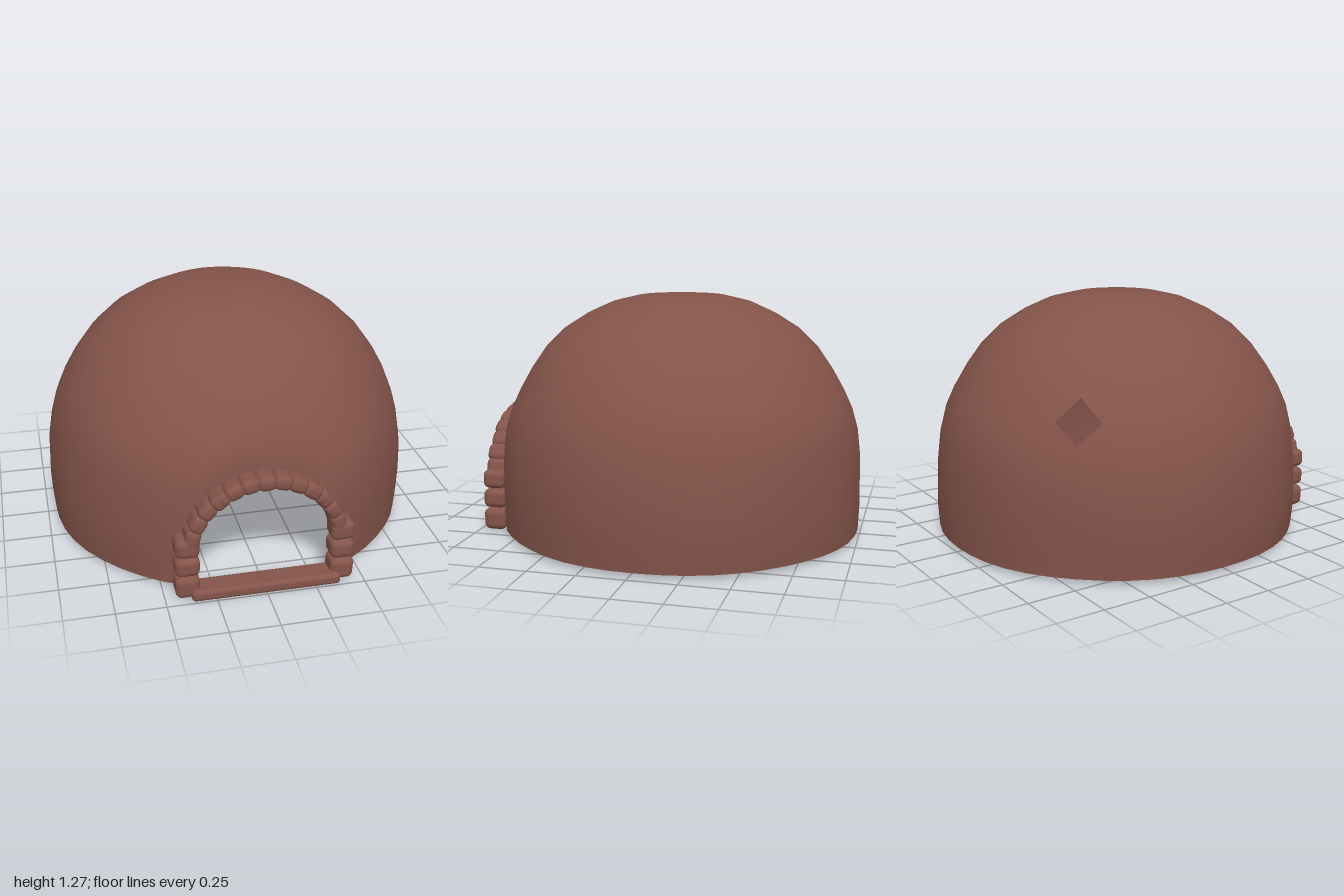
import * as THREE from 'three';
import { mergeVertices } from 'three/addons/utils/BufferGeometryUtils.js';
import { RoundedBoxGeometry } from 'three/addons/geometries/RoundedBoxGeometry.js';

const clay = new THREE.MeshStandardMaterial({ color: 0x84544a });
clay.name = 'reddish brown clay';

// Dome profile rows: height, radius
const ROWS = [
  [0.02, 0.96], [0.13, 0.967], [0.245, 0.968], [0.4, 0.963], [0.55, 0.942], [0.66, 0.912], [0.76, 0.868],
  [0.87, 0.806], [0.98, 0.728], [1.08, 0.625], [1.16, 0.5], [1.22, 0.37], [1.252, 0.24], [1.268, 0],
];
const DOOR = 22.5;                                  // half angle of the doorway, degrees
const ARCH = { a: 0.37, b: 0.345, y: 0.245 };       // half ellipse over the doorway
const HOLE = { angle: 225, row: 6 };                // chipped outer skin on the rear wall

function radiusAt(y) {
  let i = 1;
  while (i < ROWS.length - 1 && ROWS[i][0] < y) i++;
  const [y0, r0] = ROWS[i - 1], [y1, r1] = ROWS[i];
  return r0 + (r1 - r0) * (y - y0) / (y1 - y0);
}

// Point on the outer or inner wall: slightly uneven, flattened behind the door surround
function wallPoint(deg, y, inner) {
  const t = THREE.MathUtils.degToRad(deg);
  const bump = 1 + 0.006 * Math.sin(5 * t + 4 * y) * Math.sin(3 * t - 7 * y);
  const r = radiusAt(y) * bump * (inner ? 0.962 : 1);
  const h = inner ? 0.02 + (y - 0.02) * 0.967 : y;
  const z = Math.min(-0.02 + 1.01 * r * Math.cos(t), inner ? 0.838 : 0.875);
  return new THREE.Vector3(r * Math.sin(t), h, z);
}

function archHeight(deg) {
  const k = Math.sin(THREE.MathUtils.degToRad(deg)) / Math.sin(THREE.MathUtils.degToRad(DOOR));
  return ARCH.y + ARCH.b * Math.sqrt(Math.max(0, 1 - k * k));
}

// Collect triangles, skipping collapsed ones
function addFace(out, pts) {
  for (let i = 1; i < pts.length - 1; i++) {
    const tri = new THREE.Triangle(pts[0], pts[i], pts[i + 1]);
    if (tri.getArea() > 1e-7) [tri.a, tri.b, tri.c].forEach((p) => out.push(p.x, p.y, p.z));
  }
}

function meshFrom(positions, name) {
  let geo = new THREE.BufferGeometry();
  geo.setAttribute('position', new THREE.Float32BufferAttribute(positions, 3));
  geo = mergeVertices(geo, 1e-4);
  geo.computeVertexNormals();
  const mesh = new THREE.Mesh(geo, clay);
  mesh.name = name;
  return mesh;
}

// Column angles: coarse round the wall, finer over the doorway
function columnAngles() {
  const list = [];
  for (let d = DOOR; d < 360 - DOOR; d += 7.5) list.push(d);
  for (let d = 360 - DOOR; d <= 360 + DOOR; d += 3.75) list.push(d);
  return list;
}

function domeSkin(inner) {
  const cols = columnAngles(), out = [];
  for (let i = 0; i < cols.length - 1; i++) {
    const overDoor = cols[i] >= 360 - DOOR;
    for (let j = 0; j < ROWS.length - 1; j++) {
      // Dropping one outer vertex leaves a diamond-shaped chip
      const corners = [[i, j], [i + 1, j], [i + 1, j + 1], [i, j + 1]]
        .filter(([c, r]) => inner || cols[c] !== HOLE.angle || r !== HOLE.row)
        .map(([c, r]) => {
          const y = overDoor ? Math.max(ROWS[r][0], archHeight(cols[c])) : ROWS[r][0];
          return wallPoint(cols[c], y, inner);
        });
      addFace(out, inner ? corners.reverse() : corners);
    }
  }
  return meshFrom(out, inner ? 'domeInnerWall' : 'domeOuterWall');
}

// Strip joining the two skins along a line of [angle, height]
function edgeStrip(line, name) {
  const out = [];
  for (let i = 0; i < line.length - 1; i++) {
    const [p, q] = [line[i], line[i + 1]];
    addFace(out, [wallPoint(...p, false), wallPoint(...p, true), wallPoint(...q, true), wallPoint(...q, false)]);
  }
  return meshFrom(out, name);
}

function stone(name, w, h, d, x, y, z, turn) {
  const mesh = new THREE.Mesh(new RoundedBoxGeometry(w, h, d, 3, 0.032), clay);
  mesh.name = name;
  mesh.position.set(x, y, z);
  mesh.rotation.z = turn;
  return mesh;
}

export function createModel() {
  const model = new THREE.Group();
  model.name = 'domeHut';

  // Hollow dome shell
  model.add(domeSkin(false), domeSkin(true));
  const cols = columnAngles();
  const base = cols.filter((d) => d <= 360 - DOOR).map((d) => [d, 0.02]);
  model.add(edgeStrip(base, 'domeBaseRim'));
  const sideHeights = [0.02, 0.13, ARCH.y];
  const jamb = [
    ...sideHeights.map((y) => [360 - DOOR, y]),
    ...cols.filter((d) => d >= 360 - DOOR).map((d) => [d, archHeight(d)]),
    ...sideHeights.slice().reverse().map((y) => [360 + DOOR, y]),
  ];
  model.add(edgeStrip(jamb, 'doorwayJamb'));

  // Stone surround: stacked posts and arch
  const surround = new THREE.Group();
  surround.name = 'doorSurround';
  for (const side of [-1, 1]) {
    [0.065, 0.178, 0.283].forEach((y, i) => {
      surround.add(stone('postStone', 0.122, i ? 0.1 : 0.115, 0.122, side * 0.388, y, 0.912, side * (i - 1) * 0.04));
    });
  }
  const count = 13;
  for (let i = 0; i < count; i++) {
    const t = Math.PI * (0.085 + 0.83 * i / (count - 1));
    const x = ARCH.a * 1.01 * Math.cos(t), y = ARCH.y + 0.35 * Math.sin(t);
    const wobble = 0.05 * Math.sin(i * 2.3);
    surround.add(stone('archStone', 0.095, 0.078, 0.122 + wobble * 0.1, x, y, 0.912, t - Math.PI / 2 + wobble));
  }
  model.add(surround);

  // Threshold beam
  const sill = new THREE.Mesh(new RoundedBoxGeometry(0.75, 0.06, 0.13, 3, 0.022), clay);
  sill.name = 'doorSill';
  sill.position.set(0, 0.03, 0.935);
  model.add(sill);

  return model;
}
